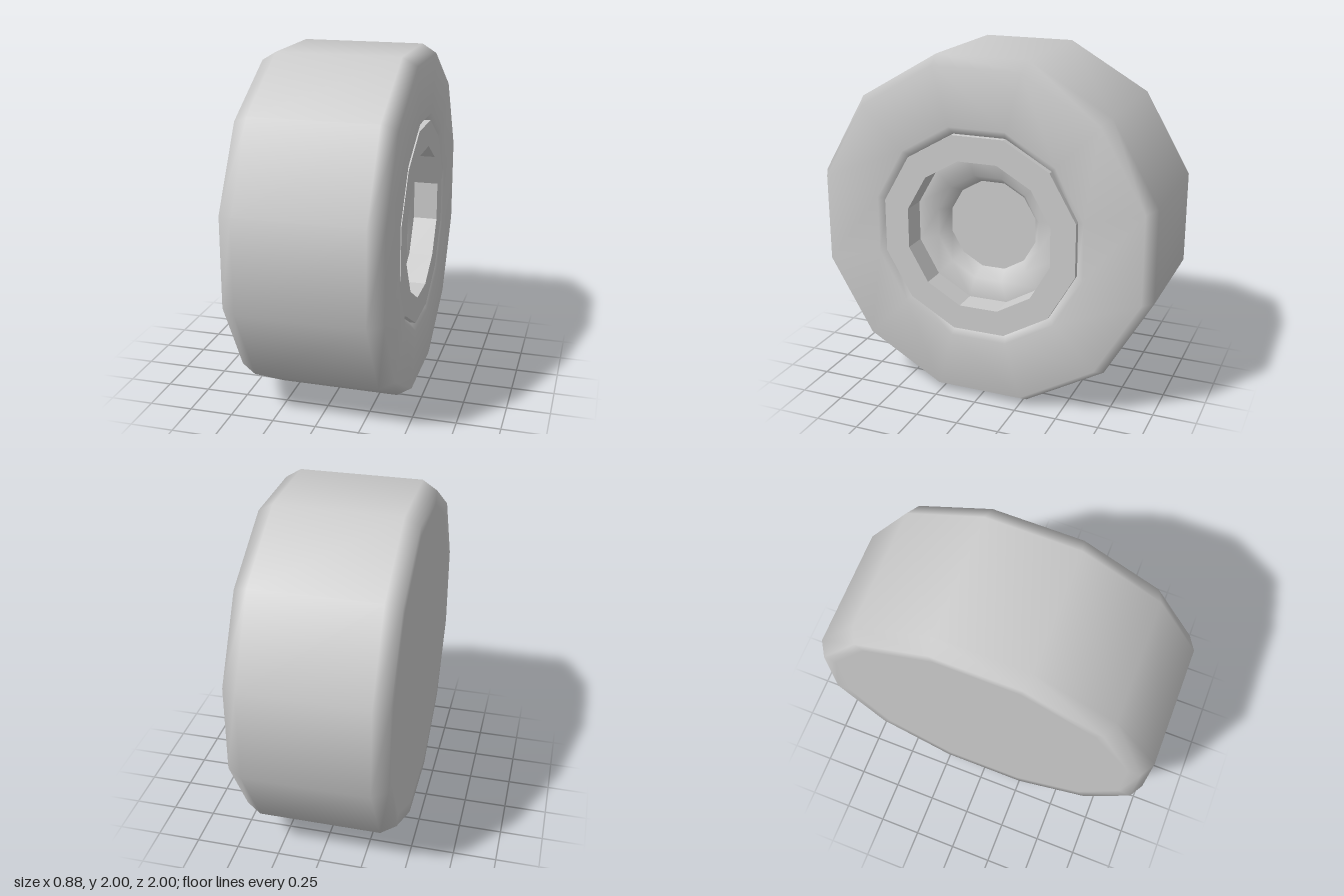
import * as THREE from 'three';

const SIDES = 12;
const smooth = new THREE.MeshStandardMaterial({ color: 0xcccccc, side: THREE.DoubleSide });
const faceted = new THREE.MeshStandardMaterial({ color: 0xcccccc, flatShading: true, side: THREE.DoubleSide });

// Turns a [distance to flat, x] profile around the axle, with a flat side at the top and bottom
function turned(name, profile, material) {
  const k = 1 / Math.cos(Math.PI / SIDES);
  const points = profile.map(([r, x]) => new THREE.Vector2(r * k, x));
  const geometry = new THREE.LatheGeometry(points, SIDES, Math.PI / SIDES);
  geometry.rotateZ(-Math.PI / 2);
  const mesh = new THREE.Mesh(geometry, material);
  mesh.name = name;
  return mesh;
}

export function createModel() {
  const wheel = new THREE.Group();
  wheel.name = 'wheel';

  // Tyre: closed inner side, chamfered tread, outer wall dipping into the rim
  wheel.add(turned('tyre', [
    [0, -0.44], [0.88, -0.44], [0.95, -0.44], [1, -0.355],
    [1, 0.355], [0.95, 0.44], [0.62, 0.44], [0.575, 0.4],
  ], smooth));

  // Raised rim ring with a straight inner wall
  wheel.add(turned('rim', [
    [0.575, 0.38], [0.575, 0.435], [0.43, 0.435], [0.43, 0.29],
  ], faceted));

  // Recessed dish, rounded down to the hub
  wheel.add(turned('dish', [[0.43, 0.29], [0.31, 0.285], [0.26, 0.206]], smooth));

  // Flat hub cap
  wheel.add(turned('hubCap', [[0.26, 0.206], [0, 0.206]], faceted));

  wheel.position.y = 1;
  const model = new THREE.Group();
  model.name = 'wheelModel';
  model.add(wheel);
  return model;
}
